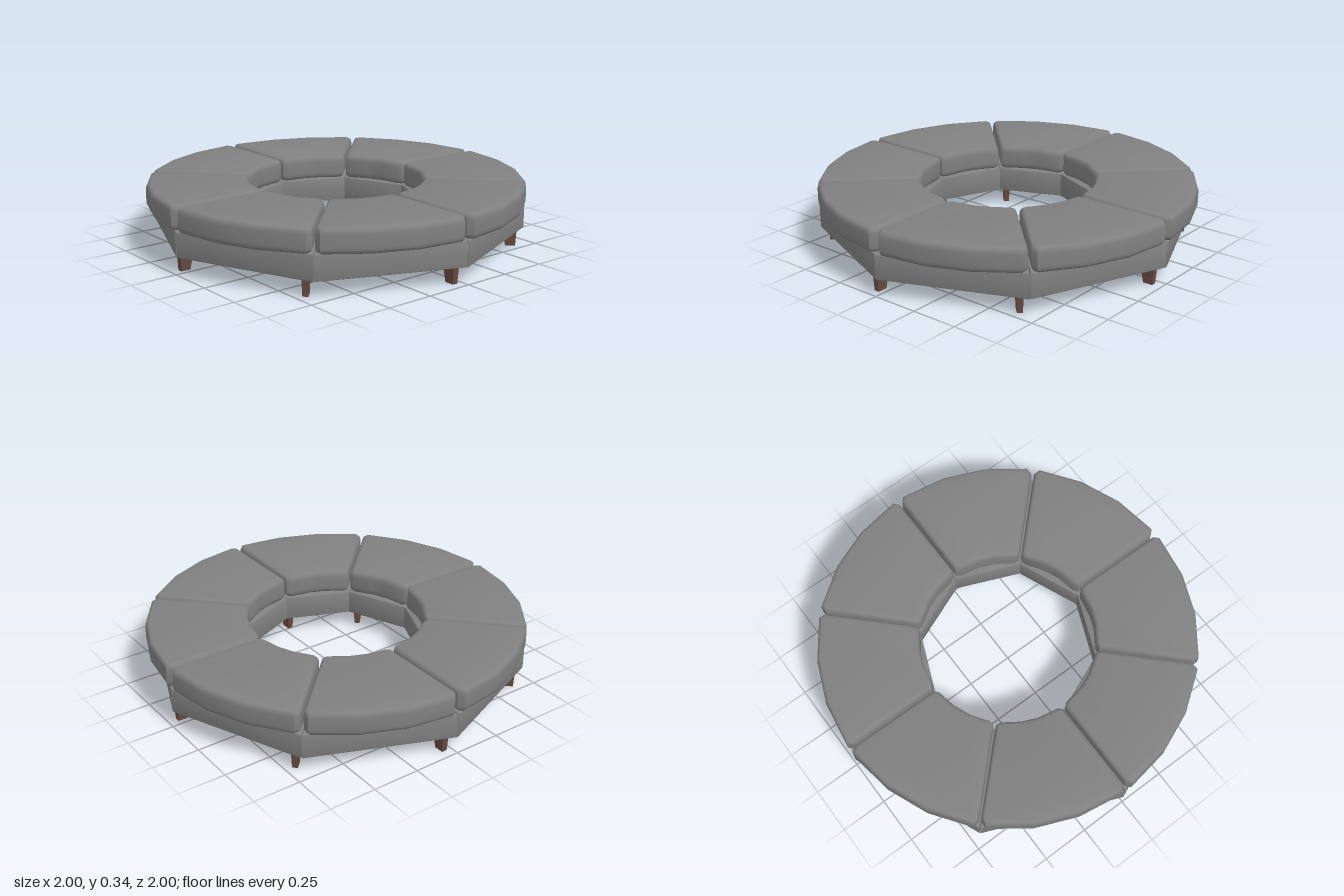
import * as THREE from 'three';
import { toCreasedNormals } from 'three/addons/utils/BufferGeometryUtils.js';

const COUNT = 8;
const STEP = (Math.PI * 2) / COUNT;

// Extrudes a plan outline upwards with rounded edges, from y0 to y1.
// The bevel grows the outline by `round`, so outlines are drawn inset by it.
function slab(points, y0, y1, round, bevelHeight, segments) {
  const geo = new THREE.ExtrudeGeometry(new THREE.Shape(points), {
    depth: y1 - y0 - 2 * bevelHeight,
    bevelEnabled: true,
    bevelThickness: bevelHeight,
    bevelSize: round,
    bevelSegments: segments,
  });
  geo.rotateX(-Math.PI / 2);
  geo.translate(0, y0 + bevelHeight, 0);
  return toCreasedNormals(geo, 0.7);
}

// Point at radius r, lying `gap` away from a seam on the near or far side of a wedge
function seamPoint(r, gap, far) {
  const a = Math.asin(gap / r);
  const t = far ? STEP - a : a;
  return new THREE.Vector2(r * Math.cos(t), r * Math.sin(t));
}

// Straight-sided base wedge: one side of the octagonal ring
function baseGeometry() {
  const b = 0.007;
  const outer = 0.987, inner = 0.474;
  return slab([
    seamPoint(outer, b, false), seamPoint(outer, b, true),
    seamPoint(inner, b, true), seamPoint(inner, b, false),
  ], 0.085, 0.217, b, b, 2);
}

// Curved seat cushion wedge with softened corners
function cushionGeometry() {
  const b = 0.022, gap = 0.007 + b;
  const outer = 0.998 - b, inner = 0.462 + b;
  const arc = (r, t) => new THREE.Vector2(r * Math.cos(t), r * Math.sin(t));
  const pts = [
    seamPoint(outer - 0.014, gap, false),
    seamPoint(outer, gap + 0.012, false),
    arc(outer, STEP * 0.35), arc(outer, STEP * 0.65),
    seamPoint(outer, gap + 0.012, true),
    seamPoint(outer - 0.014, gap, true),
    seamPoint(inner + 0.008, gap, true),
    seamPoint(inner, gap + 0.01, true),
    arc(inner, STEP * 0.62), arc(inner, STEP * 0.38),
    seamPoint(inner, gap + 0.01, false),
    seamPoint(inner + 0.008, gap, false),
  ];
  return slab(pts, 0.215, 0.343, b, 0.032, 4);
}

// Leg tapering towards the floor: one upright edge, the other slanted
function legGeometry(dir) {
  const geo = new THREE.BoxGeometry(0.075, 0.09, 0.035);
  const p = geo.attributes.position;
  for (let i = 0; i < p.count; i++) {
    if (p.getY(i) > 0) continue;
    const x = p.getX(i);
    p.setX(i, x - Math.sign(x) * (x * dir > 0 ? 0.005 : 0.018));
    p.setZ(i, p.getZ(i) * 0.8);
  }
  geo.translate(0, 0.045, 0);
  geo.computeVertexNormals();
  return geo;
}

export function createModel() {
  const fabric = new THREE.MeshStandardMaterial({ color: 0x808080 });
  fabric.name = 'grey fabric';
  const wood = new THREE.MeshStandardMaterial({ color: 0x654a42 });
  wood.name = 'dark brown wood';

  const model = new THREE.Group();
  model.name = 'ringBench';

  const base = baseGeometry();
  const cushion = cushionGeometry();
  const outerLeg = legGeometry(1);
  const innerLeg = legGeometry(-1);

  // Eight identical wedges around the ring, each with a pair of legs by its seam
  for (let i = 0; i < COUNT; i++) {
    const section = new THREE.Group();
    section.name = 'seatSection';
    const add = (name, geo, mat, x = 0, z = 0) => {
      const mesh = new THREE.Mesh(geo, mat);
      mesh.name = name;
      mesh.position.set(x, 0, z);
      section.add(mesh);
    };
    add('base', base, fabric);
    add('cushion', cushion, fabric);
    add('outerLeg', outerLeg, wood, 0.92, 0.042);
    add('innerLeg', innerLeg, wood, 0.535, 0.042);
    section.rotation.y = i * STEP;
    model.add(section);
  }
  return model;
}
